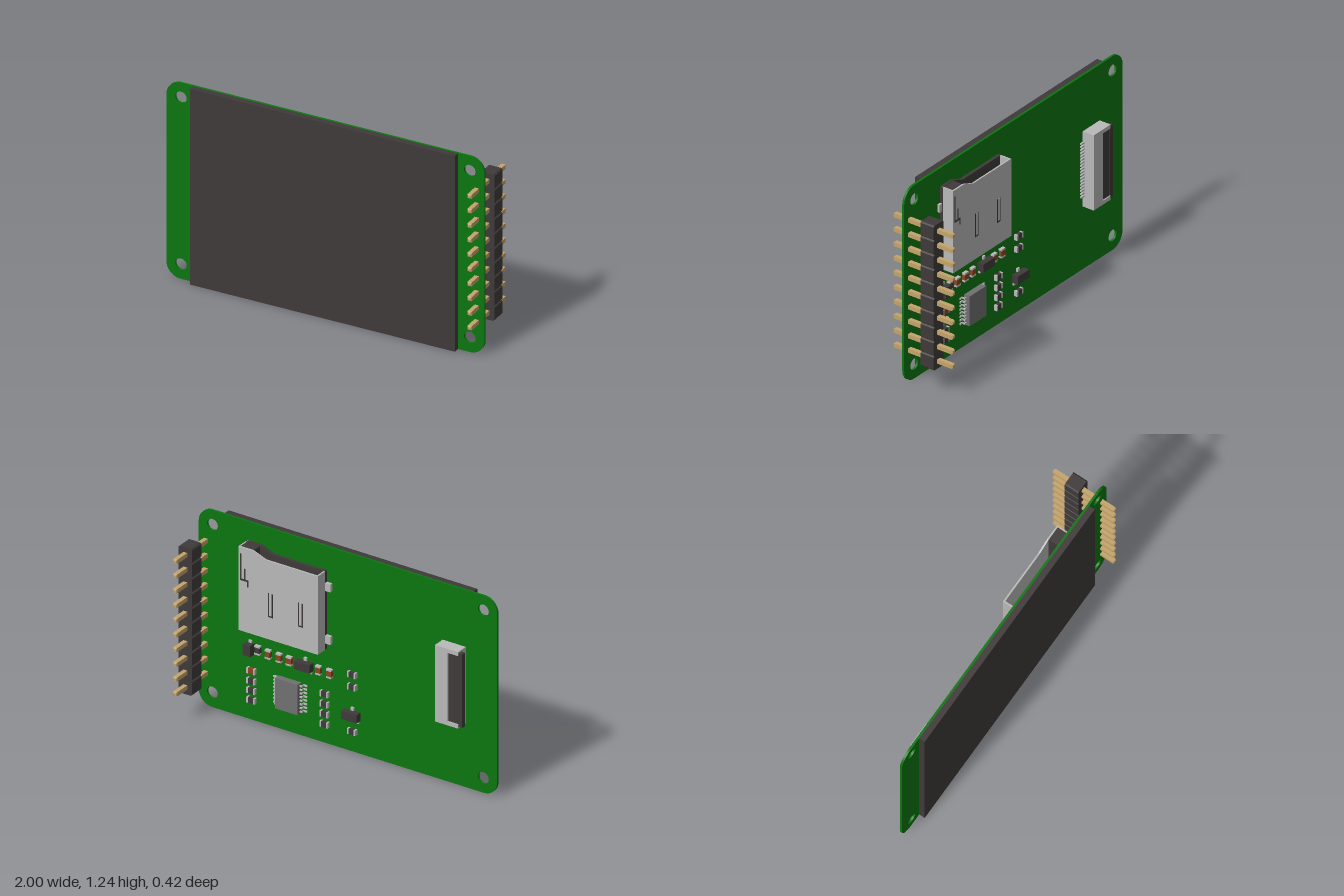
import * as THREE from 'three';

const mat = (name, color) => {
  const m = new THREE.MeshStandardMaterial({ color });
  m.name = name;
  return m;
};

export function createModel() {
  const green = mat('boardGreen', 0x0b760f);
  const black = mat('blackPlastic', 0x403a3a);
  const gold = mat('goldPin', 0xc4a46c);
  const metal = mat('lightMetal', 0xb9b9b9);
  const grey = mat('chipGrey', 0x707070);
  const brown = mat('capacitorBrown', 0x8a4520);

  const root = new THREE.Group();
  root.name = 'displayModule';
  const BACK = 0.103; // rear face of the board
  const FRONT = 0.117;

  const group = (name, parent = root) => {
    const g = new THREE.Group();
    g.name = name;
    parent.add(g);
    return g;
  };
  const add = (name, geometry, material, parent = root) => {
    const m = new THREE.Mesh(geometry, material);
    m.name = name;
    parent.add(m);
    return m;
  };
  // Box from x, y and z ranges
  const box = (name, material, x0, x1, y0, y1, z0, z1, parent) => {
    const m = add(name, new THREE.BoxGeometry(x1 - x0, y1 - y0, z1 - z0), material, parent);
    m.position.set((x0 + x1) / 2, (y0 + y1) / 2, (z0 + z1) / 2);
    return m;
  };
  // Box on the rear of the board, between heights d0 and d1 above it
  const rear = (name, material, x0, x1, y0, y1, d0, d1, parent) =>
    box(name, material, x0, x1, y0, y1, BACK - d1, BACK - d0, parent);

  // Circuit board with rounded corners and mounting holes
  const H = 1.235, R = 0.09;
  const outline = new THREE.Shape();
  outline.absarc(1 - R, R, R, -Math.PI / 2, 0);
  outline.absarc(1 - R, H - R, R, 0, Math.PI / 2);
  outline.absarc(-1 + R, H - R, R, Math.PI / 2, Math.PI);
  outline.absarc(-1 + R, R, R, Math.PI, Math.PI * 1.5);
  for (const x of [-0.908, 0.908]) for (const y of [0.092, 1.145]) {
    const hole = new THREE.Path();
    hole.absarc(x, y, 0.036, 0, Math.PI * 2, true);
    outline.holes.push(hole);
  }
  const board = add('circuitBoard', new THREE.ExtrudeGeometry(outline,
    { depth: FRONT - BACK, bevelEnabled: false, curveSegments: 12 }), green);
  board.position.z = BACK;

  // Display panel
  box('displayPanel', black, -0.833, 0.833, 0, H, FRONT, 0.154);

  // Pin header: chamfered blocks, each with a tapered square pin
  const header = group('pinHeader');
  const pitch = 0.0923, hx = 0.952, c = 0.008, half = pitch / 2;
  const block = new THREE.Shape([
    [-0.045, -half + c], [-0.045 + c, -half], [0.045 - c, -half], [0.045, -half + c],
    [0.045, half - c], [0.045 - c, half], [-0.045 + c, half], [-0.045, half - c],
  ].map(([x, y]) => new THREE.Vector2(x, y)));
  const blockGeo = new THREE.ExtrudeGeometry(block, { depth: 0.092, bevelEnabled: false });
  const tipGeo = new THREE.CylinderGeometry(0.011, 0.0184, 0.008, 4, 1).toNonIndexed();
  tipGeo.rotateY(Math.PI / 4).rotateX(Math.PI / 2);
  tipGeo.computeVertexNormals();
  for (let i = 0; i < 10; i++) {
    const y = 0.203 + i * pitch;
    add('headerBlock', blockGeo, black, header).position.set(hx, y, -0.1);
    box('headerPin', gold, hx - 0.013, hx + 0.013, y - 0.013, y + 0.013, -0.199, 0.201, header);
    add('pinTip', tipGeo, gold, header).position.set(hx, y, 0.205);
    const tip = add('pinTip', tipGeo, gold, header);
    tip.position.set(hx, y, -0.203);
    tip.rotation.y = Math.PI;
  }

  // Memory card socket: open at the top, with a stepped upper edge
  const socket = group('cardSocket');
  const profile = new THREE.Shape([
    [0.14, 0.595], [0.672, 0.595], [0.672, 1.12], [0.575, 1.12], [0.49, 1.087], [0.14, 1.087],
  ].map(([x, y]) => new THREE.Vector2(x, y)));
  const slab = (name, material, d0, d1) => {
    const g = new THREE.ExtrudeGeometry(profile, { depth: d1 - d0, bevelEnabled: false });
    add(name, g, material, socket).position.z = BACK - d1;
  };
  slab('socketFloor', black, 0, 0.02);
  slab('socketCover', metal, 0.082, 0.092);
  rear('socketSide', metal, 0.14, 0.15, 0.595, 1.087, 0.02, 0.082, socket);
  rear('socketSide', metal, 0.664, 0.672, 0.595, 1.12, 0, 0.084, socket);
  rear('socketEnd', metal, 0.15, 0.664, 0.595, 0.605, 0.02, 0.082, socket);
  rear('ejectBlock', black, 0.575, 0.664, 0.605, 1.118, 0.02, 0.082, socket);
  for (const y of [0.66, 0.99]) {
    rear('solderTab', metal, 0.105, 0.14, y - 0.025, y + 0.025, 0, 0.02, socket);
    rear('solderTab', metal, 0.672, 0.695, y - 0.025, y + 0.025, 0, 0.015, socket);
  }
  for (let i = 0; i < 9; i++) {
    const x = 0.2 + i * 0.047;
    rear('socketContact', metal, x - 0.011, x + 0.011, 0.568, 0.595, 0, 0.015, socket);
  }
  // Spring tongues and the lever slot cut in the cover
  for (const x of [0.255, 0.457]) {
    rear('tongueSlot', black, x - 0.016, x + 0.016, 0.735, 0.885, 0.09, 0.093, socket);
    rear('springTongue', metal, x - 0.008, x + 0.008, 0.745, 0.885, 0.09, 0.094, socket);
  }
  rear('leverSlot', black, 0.651, 0.661, 0.92, 1.08, 0.09, 0.093, socket);
  rear('leverSlot', black, 0.608, 0.661, 0.912, 0.924, 0.09, 0.093, socket);
  rear('leverSlot', black, 0.605, 0.615, 0.88, 0.924, 0.09, 0.093, socket);
  rear('leverSlot', black, 0.625, 0.633, 0.924, 0.99, 0.09, 0.093, socket);

  // Ribbon cable connector with a flip latch
  const ribbon = group('ribbonConnector');
  rear('connectorBody', metal, -0.72, -0.635, 0.4, 0.88, 0, 0.077, ribbon);
  rear('connectorBase', metal, -0.79, -0.72, 0.4, 0.88, 0, 0.04, ribbon);
  for (const y of [0.4, 0.855])
    rear('connectorArm', metal, -0.79, -0.72, y, y + 0.025, 0.04, 0.077, ribbon);
  rear('flipLatch', black, -0.79, -0.72, 0.425, 0.855, 0.04, 0.07, ribbon);
  rear('latchLip', black, -0.815, -0.79, 0.41, 0.87, 0.043, 0.074, ribbon);
  for (let i = 0; i < 18; i++) {
    const y = 0.47 + i * 0.02;
    rear('ribbonContact', metal, -0.635, -0.61, y - 0.005, y + 0.005, 0, 0.012, ribbon);
  }

  // Driver chip with gull-wing legs
  const chip = group('driverChip');
  rear('chipBody', grey, 0.307, 0.46, 0.145, 0.335, 0.006, 0.045, chip);
  for (let i = 0; i < 8; i++) {
    const y = 0.16 + i * 0.0229;
    for (const [edge, s] of [[0.307, -1], [0.46, 1]]) {
      const leg = (a, b, d0, d1) => rear('chipLeg', metal, edge + Math.min(a * s, b * s),
        edge + Math.max(a * s, b * s), y - 0.005, y + 0.005, d0, d1, chip);
      leg(0, 0.017, 0.018, 0.025);
      leg(0.011, 0.017, 0, 0.018);
      leg(0.017, 0.036, 0, 0.007);
    }
  }

  // Small two-terminal parts: long axis along x or y
  const passive = (name, body, x, y, alongY) => {
    const g = group(name);
    const put = (part, m, a0, a1, w, d) => alongY
      ? rear(part, m, x - w, x + w, y + a0, y + a1, 0, d, g)
      : rear(part, m, x + a0, x + a1, y - w, y + w, 0, d, g);
    put('body', body, -0.017, 0.017, 0.0165, 0.02);
    put('endCap', metal, -0.028, -0.017, 0.0175, 0.021);
    put('endCap', metal, 0.017, 0.028, 0.0175, 0.021);
  };
  passive('resistor', black, 0.597, 0.455, true);
  for (const x of [0.527, 0.454, 0.386, 0.19, 0.117]) passive('capacitor', brown, x, 0.45, true);
  passive('capacitor', brown, 0.64, 0.312, false);
  for (const y of [0.248, 0.188, 0.128]) passive('resistor', black, 0.64, y, false);
  for (const y of [0.312, 0.248, 0.186, 0.122]) passive('resistor', black, 0.15, y, false);
  for (const y of [0.487, 0.41, 0.13]) passive('resistor', black, -0.035, y, false);

  // Diode
  const diode = group('diode');
  rear('diodeBody', black, 0.625, 0.675, 0.415, 0.485, 0.004, 0.045, diode);
  for (const y of [0.4, 0.485]) rear('diodeLeg', metal, 0.64, 0.66, y, y + 0.015, 0, 0.01, diode);

  // Three-legged transistors
  for (const [x, y] of [[0.28, 0.455], [-0.035, 0.235]]) {
    const t = group('transistor');
    rear('transistorBody', black, x - 0.052, x + 0.052, y - 0.026, y + 0.026, 0.004, 0.045, t);
    for (const [dx, s] of [[-0.035, -1], [0.035, -1], [0, 1]]) {
      const ly = y + s * 0.034;
      rear('transistorLeg', metal, x + dx - 0.009, x + dx + 0.009, ly - 0.012, ly + 0.012, 0, 0.012, t);
    }
  }

  return root;
}
